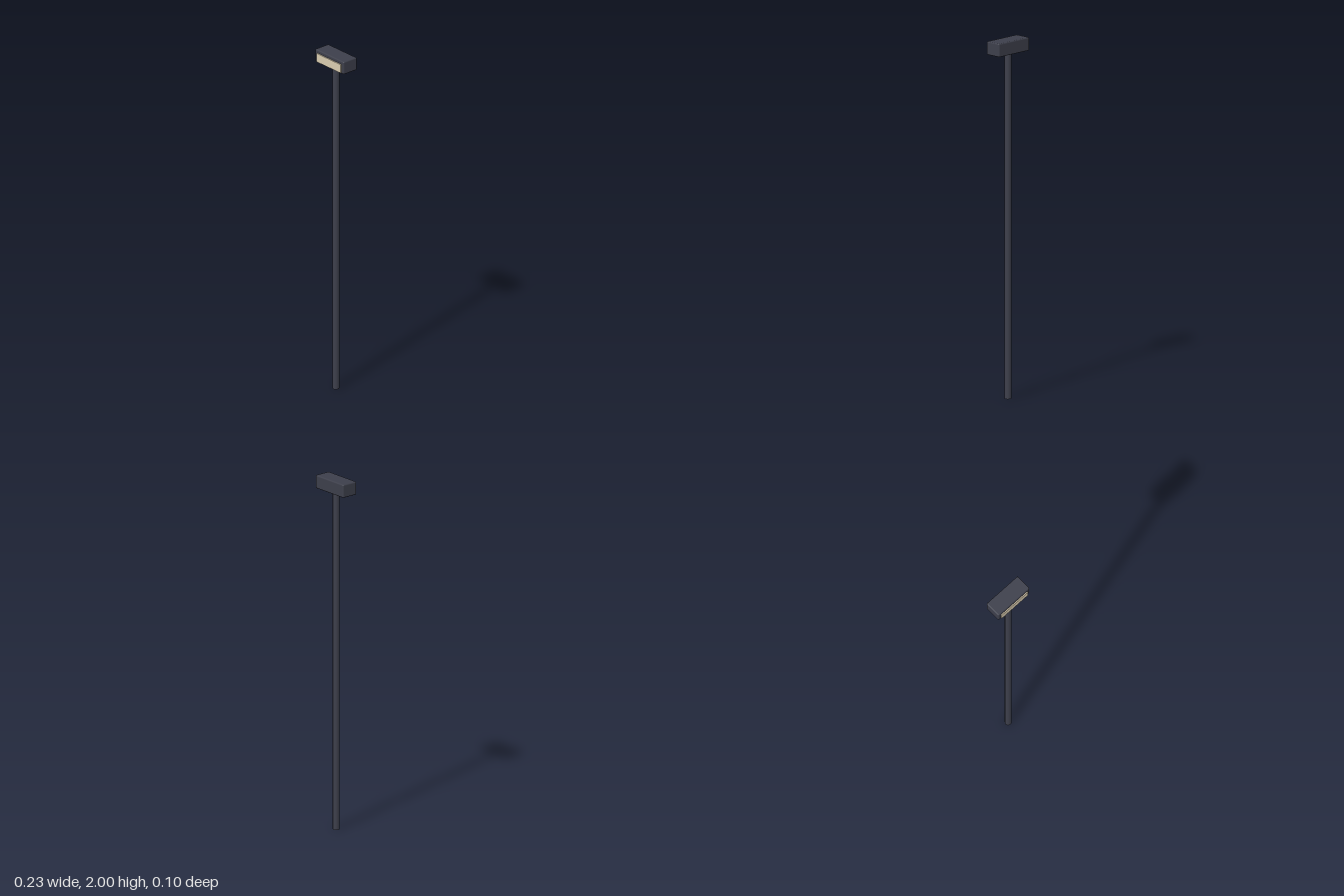
import * as THREE from 'three';
import { RoundedBoxGeometry } from 'three/addons/geometries/RoundedBoxGeometry.js';

export function createModel() {
  const group = new THREE.Group();
  const dark = new THREE.MeshStandardMaterial({ color: 0x3d3f4b });
  const cream = new THREE.MeshStandardMaterial({ color: 0xd9ccb0 });
  const add = (name, geometry, material, y, z) => {
    const mesh = new THREE.Mesh(geometry, material);
    mesh.name = name;
    mesh.position.set(0, y, z);
    group.add(mesh);
  };

  // Slim round pole, its top just inside the lamp head
  add('pole', new THREE.CylinderGeometry(0.0185, 0.0185, 1.94, 16), dark, 0.97, -0.003);

  // Lamp housing with softened edges
  add('lampHead', new RoundedBoxGeometry(0.234, 0.075, 0.096, 2, 0.007), dark, 1.9625, -0.004);

  // Light panel standing slightly proud of the front
  add('lightPanel', new THREE.BoxGeometry(0.196, 0.05, 0.02), cream, 1.956, 0.04);

  return group;
}
